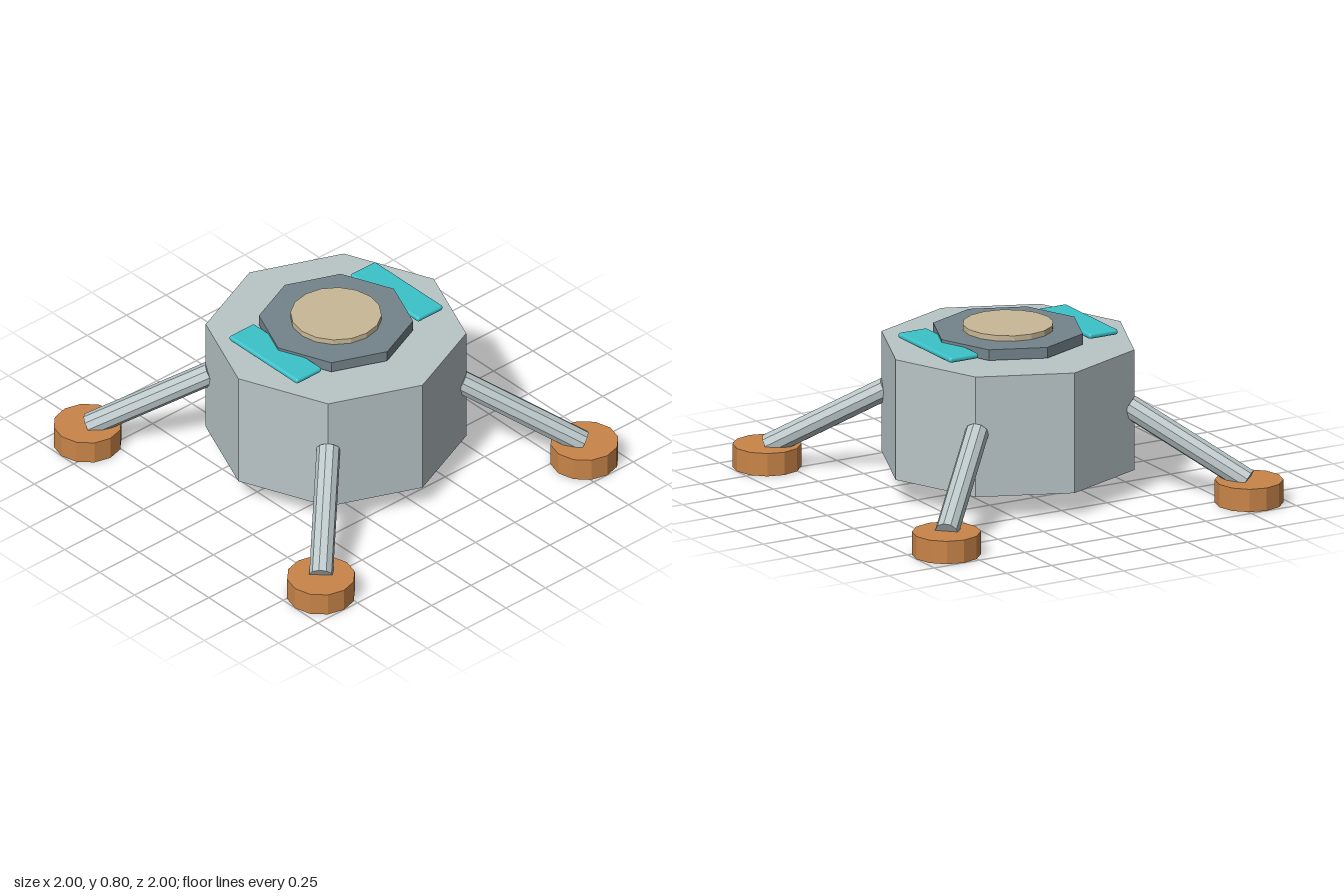
import * as THREE from 'three';
import { RoundedBoxGeometry } from 'three/addons/geometries/RoundedBoxGeometry.js';

const paint = (name, color, flat = true) => {
  const m = new THREE.MeshStandardMaterial({ color, flatShading: flat });
  m.name = name;
  return m;
};

export function createModel() {
  const hull = paint('pale grey hull', 0xb9c5c7);
  const slate = paint('slate deck', 0x74848c);
  const sand = paint('sand hatch', 0xc8b896);
  const cyan = paint('cyan panel', 0x3cc2ca, false);
  const copper = paint('copper foot', 0xc98549);

  const model = new THREE.Group();
  model.name = 'lander';

  const add = (name, geometry, material, x = 0, y = 0, z = 0) => {
    const mesh = new THREE.Mesh(geometry, material);
    mesh.name = name;
    mesh.position.set(x, y, z);
    model.add(mesh);
    return mesh;
  };

  // Upright prism between two heights
  const prism = (name, r, y0, y1, sides, material, x = 0, z = 0) =>
    add(name, new THREE.CylinderGeometry(r, r, y1 - y0, sides), material, x, (y0 + y1) / 2, z);

  // Octagonal body with stacked deck and round hatch
  prism('body', 0.62, 0.118, 0.714, 8, hull);
  prism('deck', 0.367, 0.722, 0.775, 8, slate);
  prism('hatch', 0.217, 0.775, 0.802, 16, sand);

  // Thin panels at front and back of the deck
  for (const s of [1, -1]) {
    add(s > 0 ? 'frontPanel' : 'backPanel',
      new RoundedBoxGeometry(0.49, 0.027, 0.16, 2, 0.012), cyan, 0, 0.748, s * 0.385);
  }

  // Four splayed legs, each ending on a round foot
  const up = new THREE.Vector3(0, 1, 0);
  for (const sx of [1, -1]) {
    for (const sz of [1, -1]) {
      const label = (sz > 0 ? 'front' : 'back') + (sx > 0 ? 'Left' : 'Right');
      const top = new THREE.Vector3(sx * 0.42, 0.434, sz * 0.42);
      const end = new THREE.Vector3(sx * 0.83, 0.107, sz * 0.83);
      const axis = top.clone().sub(end);
      const leg = add(label + 'Leg', new THREE.CylinderGeometry(0.057, 0.057, axis.length(), 10), hull);
      leg.position.copy(top).add(end).multiplyScalar(0.5);
      leg.quaternion.setFromUnitVectors(up, axis.normalize());
      prism(label + 'Foot', 0.164, 0, 0.113, 12, copper, sx * 0.836, sz * 0.836);
    }
  }
  return model;
}
